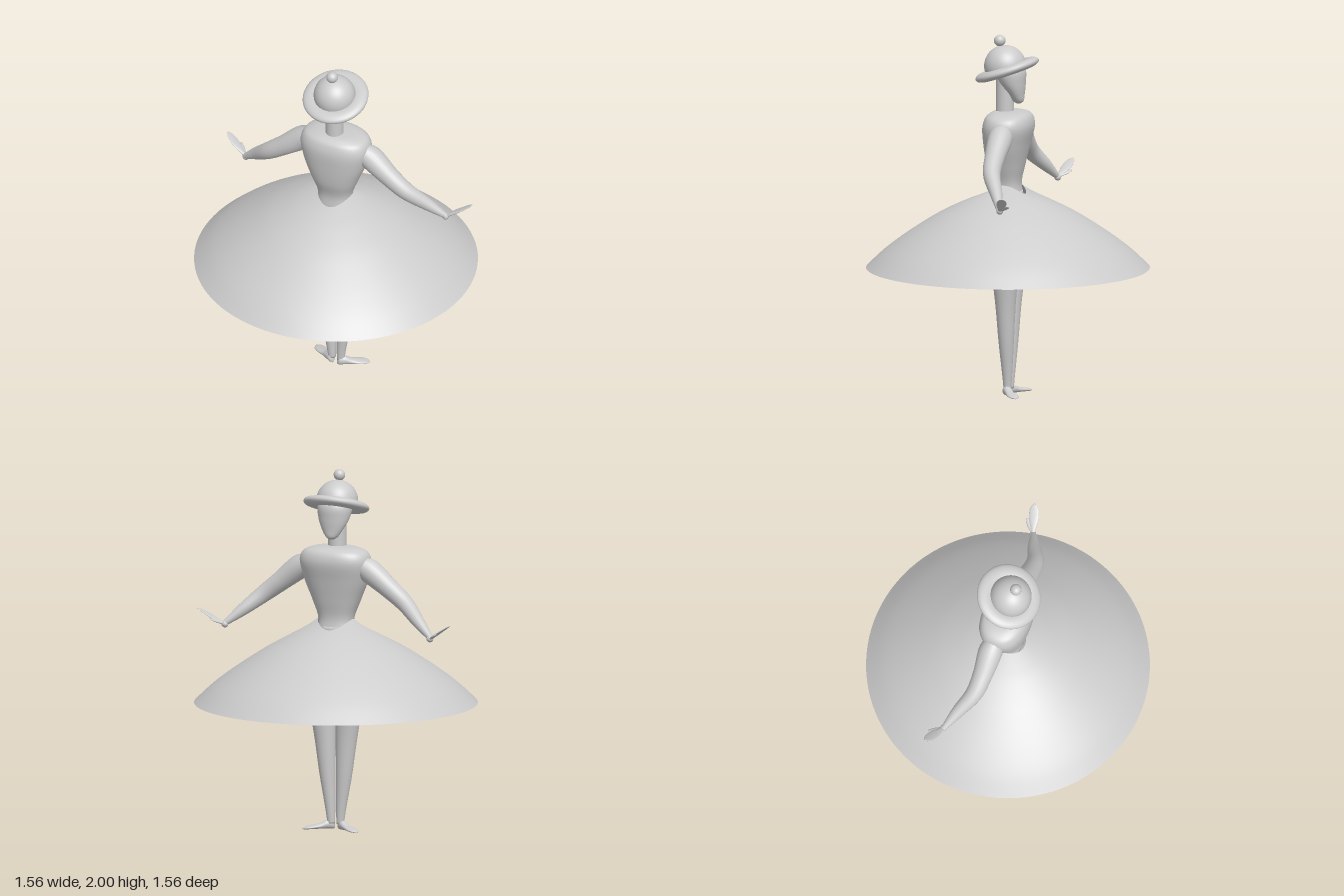
import * as THREE from 'three';

const material = new THREE.MeshStandardMaterial({ color: 0xcccccc });
const thin = new THREE.MeshStandardMaterial({ color: 0xcccccc, side: THREE.DoubleSide });
const V = (x, y, z) => new THREE.Vector3(x, y, z);

// Smooth closed body through rounded cross-sections [y, rx, rz, cx, cz], rising in y.
// A power below 1 makes the sections boxier.
function loft(rows, power = 1, steps = 6, sides = 36) {
  const sizes = new THREE.CatmullRomCurve3(rows.map(r => V(r[0], r[1], r[2])), false, 'centripetal');
  const centres = new THREE.CatmullRomCurve3(rows.map(r => V(r[3] || 0, r[4] || 0, r[0])), false, 'centripetal');
  const n = (rows.length - 1) * steps;
  const pos = [], index = [];
  const soft = c => Math.sign(c) * Math.abs(c) ** power;
  for (let i = 0; i <= n; i++) {
    const s = sizes.getPoint(i / n), c = centres.getPoint(i / n);
    for (let j = 0; j < sides; j++) {
      const a = j / sides * Math.PI * 2;
      pos.push(c.x + s.y * soft(Math.cos(a)), s.x, c.y + s.z * soft(Math.sin(a)));
      if (i === n) continue;
      const p = i * sides + j, q = i * sides + (j + 1) % sides;
      index.push(p, p + sides, q, q, p + sides, q + sides);
    }
  }
  // end caps
  [0, rows.length - 1].forEach((k, top) => {
    const r = rows[k], ring = top ? n * sides : 0, mid = pos.length / 3;
    pos.push(r[3] || 0, r[0], r[4] || 0);
    for (let j = 0; j < sides; j++) {
      const p = ring + j, q = ring + (j + 1) % sides;
      if (top) index.push(mid, q, p); else index.push(mid, p, q);
    }
  });
  const g = new THREE.BufferGeometry();
  g.setAttribute('position', new THREE.Float32BufferAttribute(pos, 3));
  g.setIndex(index);
  g.computeVertexNormals();
  return g;
}

// Turns a lofted part so that its length runs along dir and its thin side faces up
function aim(geometry, origin, dir, up) {
  const y = dir.clone().normalize();
  const x = y.clone().cross(up).normalize();
  const z = x.clone().cross(y);
  return geometry.applyMatrix4(new THREE.Matrix4().makeBasis(x, y, z).setPosition(origin));
}

// Round limb along a path with a radius for every path point
function limb(points, radii) {
  const curve = new THREE.CatmullRomCurve3(points);
  const n = 40, sides = 24;
  const g = new THREE.TubeGeometry(curve, n, 1, sides);
  const rad = new THREE.CatmullRomCurve3(radii.map((r, i) => V(i, r, 0)));
  const p = g.attributes.position, v = V(0, 0, 0);
  for (let i = 0; i <= n; i++) {
    const c = curve.getPointAt(i / n);
    const r = rad.getPoint(curve.getUtoTmapping(i / n)).y;
    for (let j = 0; j <= sides; j++) {
      const k = i * (sides + 1) + j;
      v.fromBufferAttribute(p, k).sub(c).multiplyScalar(r).add(c);
      p.setXYZ(k, v.x, v.y, v.z);
    }
  }
  return g;
}

export function createModel() {
  const model = new THREE.Group();
  const add = (name, geometry, parent = model, mat = material) => {
    const m = new THREE.Mesh(geometry, mat);
    m.name = name;
    parent.add(m);
    return m;
  };

  // Skirt: open dome whose waist edge rises towards the hips
  const profile = new THREE.SplineCurve([[0.78, 0.71], [0.69, 0.795], [0.59, 0.873], [0.48, 0.948],
    [0.37, 1.015], [0.25, 1.073], [0.17, 1.103], [0.1, 1.125]].map(p => new THREE.Vector2(...p)));
  const skirt = new THREE.LatheGeometry(profile.getPoints(40), 96);
  const sp = skirt.attributes.position;
  for (let i = 0; i < sp.count; i++) {
    const x = sp.getX(i), r = Math.hypot(x, sp.getZ(i));
    sp.setY(i, sp.getY(i) + 0.055 * Math.exp((0.1 - r) / 0.1) * (x / r) ** 2);
  }
  add('skirt', skirt, model, thin);

  // Body
  add('torso', loft([
    [1.1, 0.105, 0.085, 0, 0], [1.18, 0.1, 0.077, 0, 0.005], [1.28, 0.135, 0.1, 0, 0.01],
    [1.4, 0.182, 0.122, 0, 0.005], [1.5, 0.203, 0.135, 0, -0.004], [1.55, 0.185, 0.122, 0, -0.006],
    [1.575, 0.135, 0.092, 0, -0.005], [1.585, 0.04, 0.035, 0, 0.01]], 0.85));
  add('pelvis', loft([
    [0.87, 0.025, 0.03], [0.91, 0.08, 0.065], [0.98, 0.13, 0.09], [1.06, 0.125, 0.088], [1.14, 0.1, 0.08]]));
  add('neck', new THREE.CylinderGeometry(0.05, 0.05, 0.24, 32)).position.set(0, 1.67, 0.017);
  add('head', loft([
    [1.627, 0.014, 0.014, 0, -0.06], [1.64, 0.033, 0.03, 0, -0.058], [1.68, 0.06, 0.043, 0, -0.05],
    [1.74, 0.088, 0.07, 0, -0.028], [1.81, 0.098, 0.085, 0, -0.012], [1.87, 0.07, 0.06, 0, 0]]));

  // Tilted hat
  const hat = new THREE.Group();
  hat.name = 'hat';
  hat.position.set(0, 1.81, 0.005);
  hat.rotation.x = 0.33;
  model.add(hat);
  const brim = new THREE.TorusGeometry(0.133, 0.05, 20, 64).rotateX(Math.PI / 2).scale(1, 0.52, 1);
  add('hatBrim', brim, hat);
  add('hatCrown', new THREE.SphereGeometry(0.116, 40, 20, 0, Math.PI * 2, 0, Math.PI * 0.55), hat, thin)
    .position.set(0, 0.022, 0.004);
  add('hatPompom', new THREE.SphereGeometry(0.032, 24, 16), hat).position.set(0, 0.165, -0.012);

  for (const s of [1, -1]) {
    const side = s > 0 ? 'left' : 'right';

    // Arm
    add(side + 'Arm', limb(
      [V(0.155 * s, 1.485, -0.01), V(0.21 * s, 1.455, -0.012), V(0.32 * s, 1.37, -0.01),
        V(0.42 * s, 1.293, -0.02), V(0.53 * s, 1.2, -0.075), V(0.615 * s, 1.128, -0.115)],
      [0.05, 0.067, 0.056, 0.048, 0.034, 0.016]));

    // Hand: wrist ball, flat palm and thumb
    const wrist = V(0.615 * s, 1.122, -0.118);
    const up = V(-0.5 * s, 0.86, 0);
    add(side + 'Wrist', new THREE.SphereGeometry(0.019, 20, 14)).position.copy(wrist);
    add(side + 'Palm', aim(loft([
      [0, 0.009, 0.008], [0.04, 0.017, 0.008], [0.09, 0.027, 0.006], [0.14, 0.024, 0.004],
      [0.165, 0.013, 0.003], [0.173, 0.002, 0.001]]), wrist, V(0.14 * s, 0.088, -0.052), up));
    add(side + 'Thumb', aim(loft([
      [0, 0.006, 0.006], [0.03, 0.01, 0.006], [0.07, 0.013, 0.005], [0.092, 0.008, 0.003],
      [0.098, 0.001, 0.001]]), wrist, V(0.065 * s, 0.036, -0.065), up));

    // Leg
    add(side + 'Leg', loft([
      [0.035, 0.021, 0.021, 0.027 * s, -0.004], [0.1, 0.026, 0.026, 0.031 * s, -0.004],
      [0.3, 0.044, 0.042, 0.049 * s, -0.003], [0.5, 0.059, 0.055, 0.063 * s, -0.003],
      [0.71, 0.075, 0.074, 0.08 * s, -0.004], [0.92, 0.083, 0.083, 0.088 * s, -0.004],
      [0.985, 0.075, 0.075, 0.088 * s, -0.004], [1.01, 0.035, 0.035, 0.088 * s, -0.004]]));

    // Turned-out foot
    add(side + 'Foot', aim(loft([
      [-0.004, 0.008, 0.012, 0, 0.018], [0.008, 0.02, 0.025, 0, 0.028], [0.04, 0.023, 0.025, 0, 0.029],
      [0.075, 0.024, 0.016, 0, 0.021], [0.12, 0.03, 0.011, 0, 0.016], [0.155, 0.025, 0.008, 0, 0.012],
      [0.178, 0.006, 0.003, 0, 0.008]]), V(0.017 * s, 0, 0.01), V(0.15 * s, 0, -0.1), V(0, 1, 0)));
  }
  return model;
}
